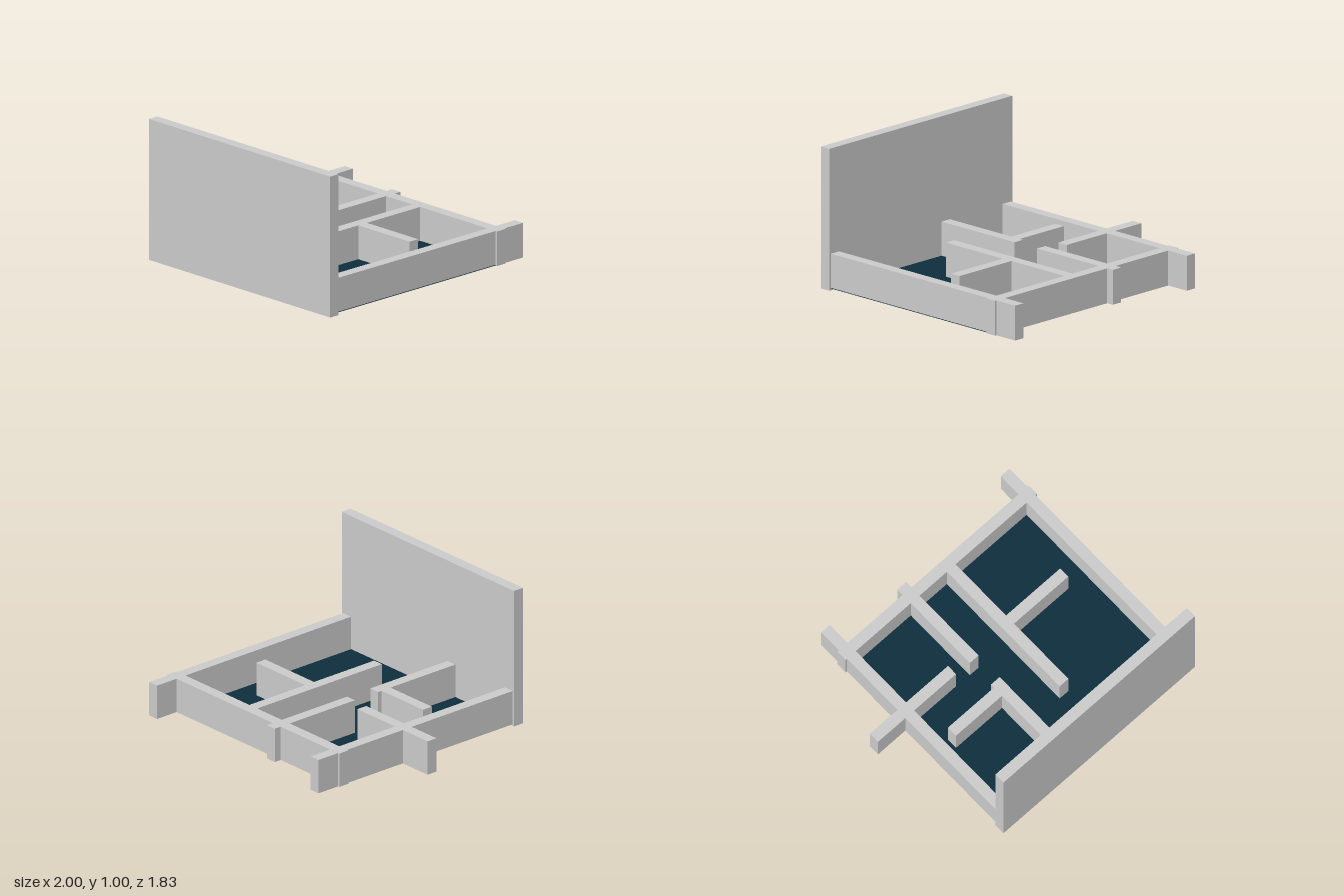
import * as THREE from 'three';

export function createModel() {
  const group = new THREE.Group();
  const wallGrey = new THREE.MeshStandardMaterial({ color: 0xcacaca });
  wallGrey.name = 'wallGrey';
  const floorTeal = new THREE.MeshStandardMaterial({ color: 0x0e2e3b });
  floorTeal.name = 'floorTeal';

  // Axis-aligned block given by its limits on each axis
  function block(name, material, [x0, x1], [y0, y1], [z0, z1]) {
    const mesh = new THREE.Mesh(new THREE.BoxGeometry(x1 - x0, y1 - y0, z1 - z0), material);
    mesh.position.set((x0 + x1) / 2, (y0 + y1) / 2, (z0 + z1) / 2);
    mesh.name = name;
    group.add(mesh);
  }

  // Thin floor just above the undersides of the walls
  block('floor', floorTeal, [-0.74, 0.99], [0.016, 0.018], [-0.735, 0.85]);

  // Tall front wall
  block('frontWall', wallGrey, [-0.76, 1], [0, 1], [0.833, 0.913]);

  // Low walls: name, x limits, z limits
  const lowWalls = [
    ['rightOuterWall', [-0.747, -0.667], [-0.913, 0.835]],
    ['leftOuterWall', [0.905, 0.985], [-0.913, 0.835]],
    ['backWall', [-0.76, 0.998], [-0.737, -0.656]],
    ['backHallWall', [-0.16, -0.08], [-0.79, -0.07]],
    ['frontHallWall', [-0.16, -0.08], [0.14, 0.835]],
    ['centreWall', [0.172, 0.252], [-0.66, 0.465]],
    ['rightCrossWall', [-1, -0.282], [-0.155, -0.075]],
    ['leftCrossWall', [0.25, 0.75], [-0.155, -0.075]],
    ['frontCrossWall', [-0.583, -0.158], [0.17, 0.25]],
  ];
  for (const [name, x, z] of lowWalls) block(name, wallGrey, x, [0.012, 0.258], z);

  return group;
}
